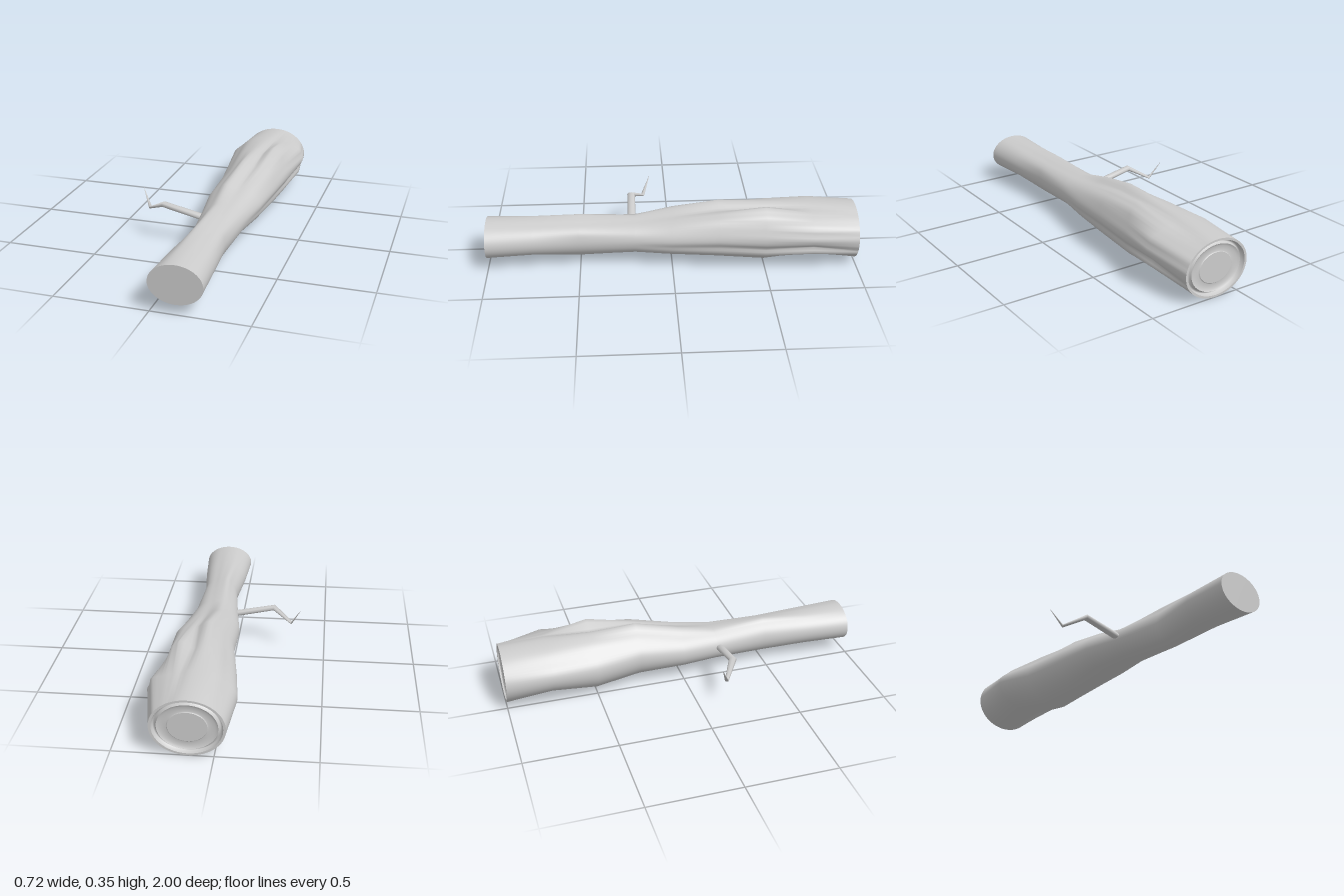
import * as THREE from 'three';

const SIDES = 72;

// Trunk sections: z, x range, y range, bumps as [angle in degrees, amount, width]
const SECTIONS = [
  { z: -1.0, x: [-0.058, 0.312], y: [0.003, 0.305], bumps: [] },
  { z: -0.75, x: [-0.088, 0.343], y: [0.045, 0.322], bumps: [[11, 0.08, 9], [32, 0.14, 11], [-14, -0.09, 6], [-26, 0.06, 8], [-52, -0.05, 12], [66, -0.08, 10], [143, -0.08, 18]] },
  { z: -0.5, x: [-0.06, 0.32], y: [0.006, 0.325], bumps: [[54, 0.21, 12], [67, 0.21, 6], [79, -0.12, 7], [-12, -0.08, 9], [-48, -0.06, 14], [143, -0.08, 18]] },
  { z: -0.25, x: [-0.022, 0.312], y: [0.035, 0.318], bumps: [[100, 0.18, 10], [79, -0.06, 9], [-12, -0.08, 10], [-50, -0.05, 14], [45, 0.08, 14], [140, -0.04, 16]] },
  { z: 0.0, x: [-0.026, 0.282], y: [0.05, 0.275], bumps: [[106, 0.16, 13], [78, -0.06, 12], [-12, -0.05, 12], [-110, -0.05, 14]] },
  { z: 0.2, x: [0.0, 0.247], y: [0.06, 0.25], bumps: [[75, -0.04, 12], [-75, -0.05, 14]] },
  { z: 0.5, x: [0.036, 0.226], y: [0.045, 0.253], bumps: [[112, 0.18, 14], [70, -0.05, 14], [-110, -0.05, 14], [35, 0.05, 14]] },
  { z: 0.75, x: [0.006, 0.252], y: [0.06, 0.256], bumps: [[110, 0.04, 14], [70, -0.04, 14], [-60, -0.04, 14]] },
  { z: 1.0, x: [-0.008, 0.27], y: [0.056, 0.261], bumps: [] },
];

// One closed outline, counter-clockwise as seen from +z
function outline(s, scale = 1, z = s.z) {
  const cx = (s.x[0] + s.x[1]) / 2, cy = (s.y[0] + s.y[1]) / 2;
  const rx = (s.x[1] - s.x[0]) / 2, ry = (s.y[1] - s.y[0]) / 2;
  const points = [];
  for (let i = 0; i < SIDES; i++) {
    const deg = (i / SIDES) * 360;
    let f = scale;
    for (const [angle, amount, width] of s.bumps) {
      const d = ((deg - angle + 540) % 360) - 180;
      f += amount * Math.exp(-((d / width) ** 2));
    }
    const a = THREE.MathUtils.degToRad(deg);
    points.push(new THREE.Vector3(cx + rx * f * Math.cos(a), cy + ry * f * Math.sin(a), z));
  }
  return points;
}

// Skin a list of closed outlines; a repeated outline gives a sharp edge
function loft(name, rows) {
  const n = rows[0].length, index = [];
  for (let r = 0; r < rows.length - 1; r++) {
    for (let i = 0; i < n; i++) {
      const j = (i + 1) % n, a = r * n, b = a + n;
      index.push(a + i, a + j, b + j, a + i, b + j, b + i);
    }
  }
  const geometry = new THREE.BufferGeometry().setFromPoints(rows.flat());
  geometry.setIndex(index);
  geometry.computeVertexNormals();
  const mesh = new THREE.Mesh(geometry, new THREE.MeshStandardMaterial({ color: 0xcccccc }));
  mesh.name = name;
  return mesh;
}

// Thin tapering twig: joints with their radius
function twig() {
  const joints = [
    [0.06, 0.158, 0.215, 0.022],
    [-0.207, 0.215, 0.214, 0.02],
    [-0.31, 0.157, 0.145, 0.01],
    [-0.361, 0.252, 0.105, 0.001],
  ];
  const points = joints.map(([x, y, z]) => new THREE.Vector3(x, y, z));
  const rows = joints.map(([, , , radius], k) => {
    const before = points[Math.max(k - 1, 0)], after = points[Math.min(k + 1, 3)];
    const along = after.clone().sub(before).normalize();
    const side = new THREE.Vector3(0, 0, 1).cross(along).normalize();
    const up = along.clone().cross(side);
    return Array.from({ length: 8 }, (_, i) => {
      const a = (i / 8) * Math.PI * 2;
      return points[k].clone()
        .addScaledVector(side, radius * 0.75 * Math.cos(a))
        .addScaledVector(up, radius * 1.1 * Math.sin(a));
    });
  });
  return loft('twig', rows);
}

export function createModel() {
  const model = new THREE.Group();
  model.name = 'log';
  const back = SECTIONS[0], front = SECTIONS[SECTIONS.length - 1];

  // Bark
  model.add(loft('bark', SECTIONS.map((s) => outline(s))));

  // Plain cut at the narrow end
  model.add(loft('frontCut', [outline(front), outline(front, 0)]));

  // Ringed cut at the wide end: scale and z, from the middle outwards
  const rings = [[0, -0.99], [0.52, -0.99], [0.52, -0.99], [0.55, -0.985], [0.72, -0.985],
    [0.8, -0.993], [0.8, -0.993], [0.84, -0.975], [0.9, -0.975], [0.93, -1], [0.93, -1], [1, -1]];
  model.add(loft('backGrowthRings', rings.map(([scale, z]) => outline(back, scale, z))));

  model.add(twig());
  return model;
}
